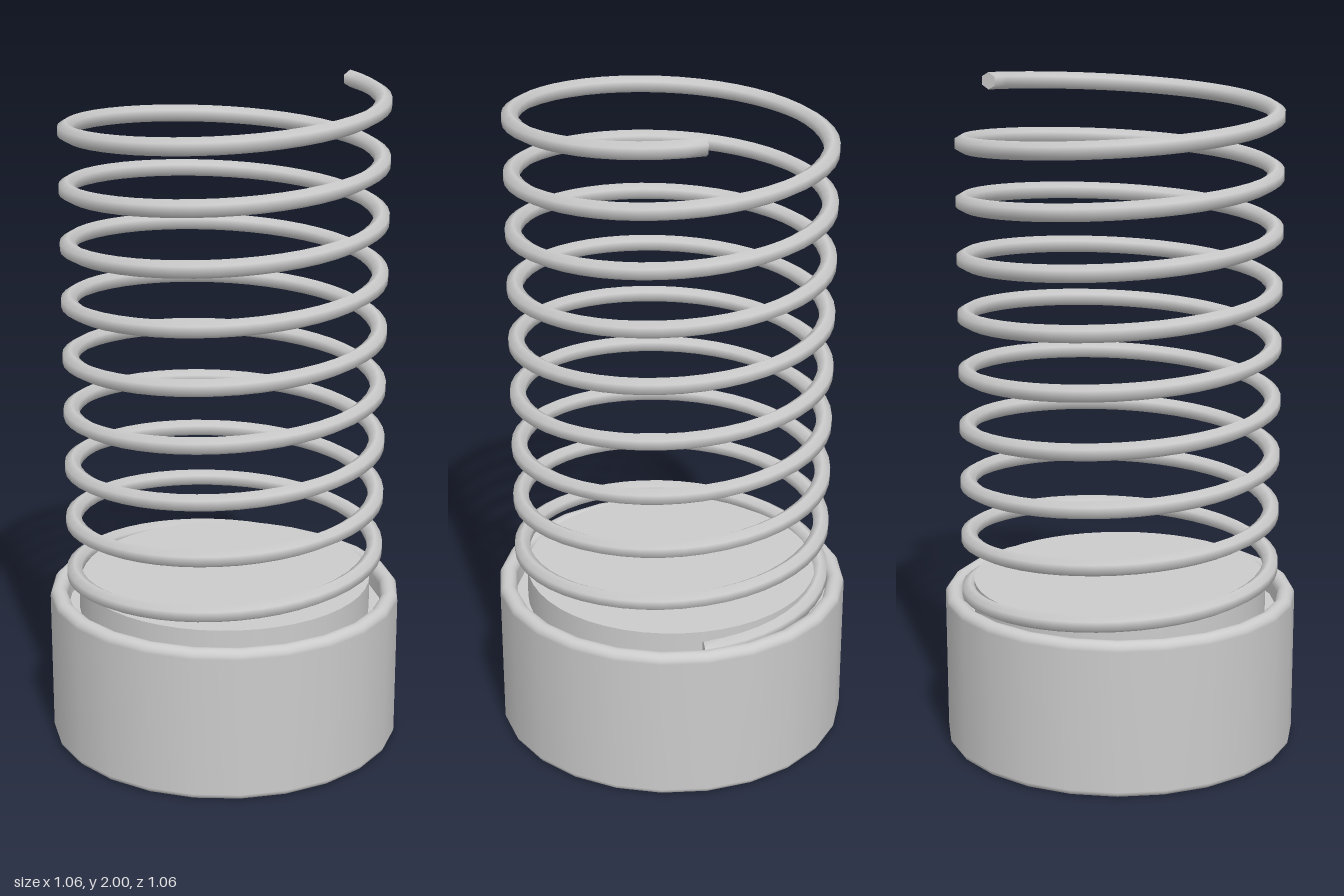
import * as THREE from 'three';

const material = new THREE.MeshStandardMaterial({ color: 0xcccccc });

// Points along a quarter-circle arc, angles in degrees
function arc(cx, cy, r, from, to, steps = 4) {
  return Array.from({ length: steps + 1 }, (_, i) => {
    const a = THREE.MathUtils.degToRad(from + ((to - from) * i) / steps);
    return new THREE.Vector2(cx + r * Math.cos(a), cy + r * Math.sin(a));
  });
}

// Helical wire with a hexagonal section, swept from bottom to top
function springGeometry({ radius, wire, bottom, top, turns, sides = 6, perTurn = 48 }) {
  const rings = turns * perTurn;
  const positions = [];
  const index = [];
  for (let i = 0; i <= rings; i++) {
    const t = i / rings;
    const a = t * turns * Math.PI * 2;
    const y = bottom + (top - bottom) * t;
    for (let j = 0; j < sides; j++) {
      const b = Math.PI / 2 + (j / sides) * Math.PI * 2;
      const r = radius + wire * Math.cos(b);
      positions.push(r * Math.cos(a), y + wire * Math.sin(b), -r * Math.sin(a));
      if (i < rings) {
        const k = (j + 1) % sides;
        const p = i * sides + j, q = i * sides + k;
        index.push(p, q + sides, q, p, p + sides, q + sides);
      }
    }
  }
  const g = new THREE.BufferGeometry();
  g.setAttribute('position', new THREE.Float32BufferAttribute(positions, 3));
  g.setIndex(index);
  g.computeVertexNormals();
  return g;
}

export function createModel() {
  const group = new THREE.Group();
  const add = (name, geometry, mat = material) => {
    const mesh = new THREE.Mesh(geometry, mat);
    mesh.name = name;
    group.add(mesh);
    return mesh;
  };

  // Base cup: rounded outer edges and rim, with a groove for the spring
  const floor = 0.4;
  const v = (x, y) => new THREE.Vector2(x, y);
  add('baseCup', new THREE.LatheGeometry([
    v(0, 0), v(0.512, 0), v(0.512, 0),
    ...arc(0.512, 0.018, 0.018, -90, 0),
    ...arc(0.506, 0.446, 0.026, 0, 180, 8),
    v(0.48, floor), v(0.48, floor), v(0.4, floor),
  ], 24));

  // Raised centre plug inside the coil
  const plug = add('centrePlug', new THREE.CylinderGeometry(0.443, 0.443, 0.5 - floor, 48));
  plug.position.y = (0.5 + floor) / 2;

  // Coil spring
  const coil = { radius: 0.457, wire: 0.026, bottom: 0.45, top: 1.974, turns: 9 };
  add('spring', springGeometry(coil));

  // Flat wire ends
  const ends = [['springLowerEnd', coil.bottom, 0], ['springUpperEnd', coil.top, Math.PI]];
  const capMaterial = material.clone();
  capMaterial.side = THREE.DoubleSide;
  for (const [name, y, turn] of ends) {
    const cap = add(name, new THREE.CircleGeometry(coil.wire, 6, Math.PI / 2), capMaterial);
    cap.position.set(coil.radius, y, 0);
    cap.rotation.y = turn;
  }
  return group;
}
